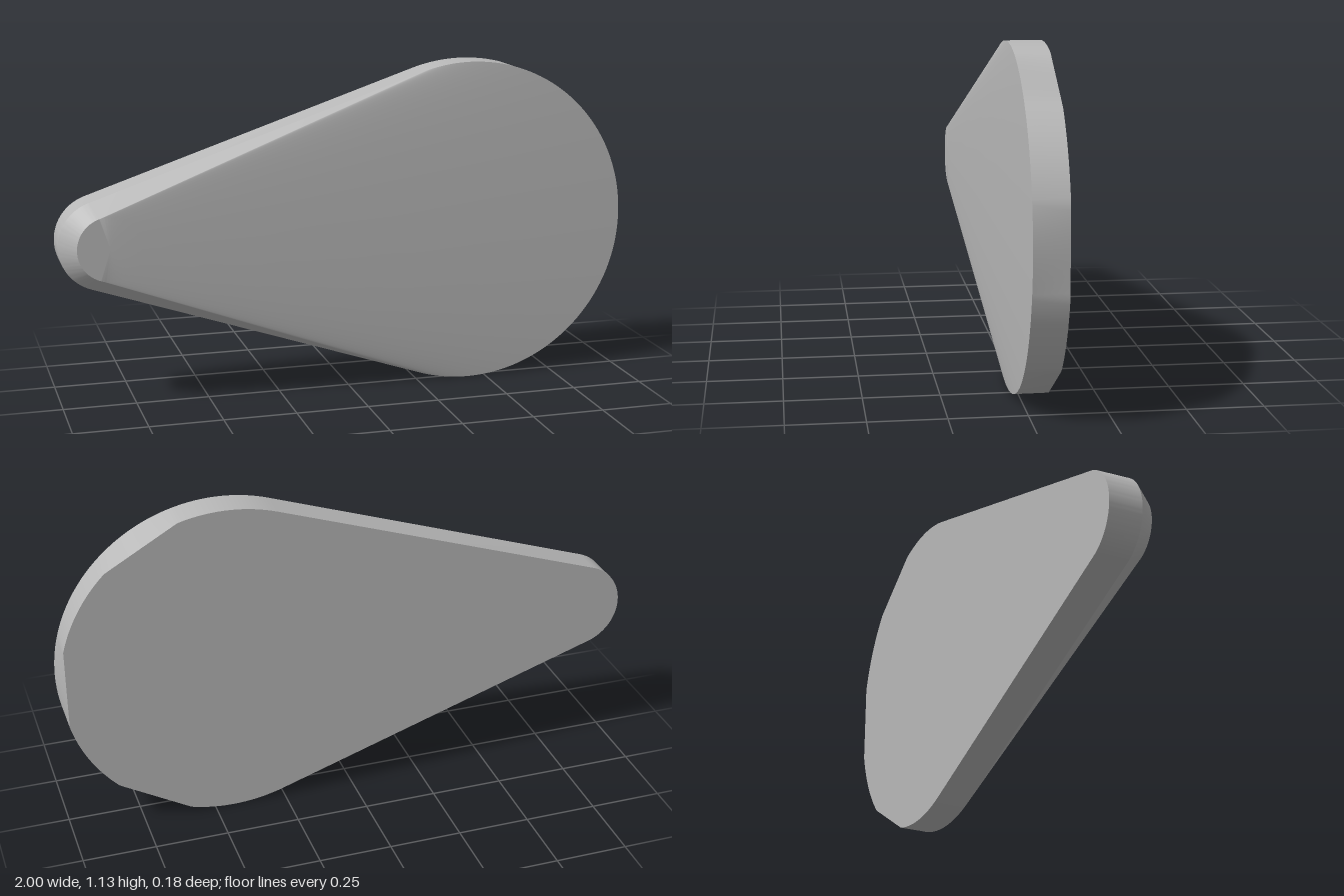
import * as THREE from 'three';
import { toCreasedNormals } from 'three/addons/utils/BufferGeometryUtils.js';

const CY = 0.565;                       // height of the long axis
const BIG = { x: 0.435, r: 0.565 };     // wide end
const TIP = { x: -0.845, r: 0.155 };    // narrow end
const CREST = { x: -0.835, r: 0.11 };   // raised flat disc at the narrow end
const Z_BACK = -0.089, Z_RIM = 0.025, Z_CREST = 0.088;

const polar = (c, a, z, r = c.r) => [c.x + r * Math.cos(a), CY + r * Math.sin(a), z];

// back radius of the wide end, trimmed by three slanted flats
function trimmedRadius(a) {
  let r = BIG.r;
  for (const flat of [-Math.PI / 3, 0, Math.PI / 3]) {
    const c = Math.cos(a - flat);
    if (c > 0.5) r = Math.min(r, 0.547 / c);
  }
  return r;
}

// matching points on the back, rim and crest, ordered by outline direction
function sections() {
  const tangent = Math.PI - Math.acos((BIG.r - TIP.r) / (BIG.x - TIP.x));
  const list = [];
  const arc = (c, from, to, n, backRadius) => {
    for (let i = 0; i <= n; i++) {
      const a = from + (to - from) * i / n;
      list.push({
        back: polar(c, a, Z_BACK, backRadius(a)),
        rim: polar(c, a, Z_RIM),
        crest: polar(CREST, a, Z_CREST),
      });
    }
  };
  arc(BIG, -tangent, tangent, 120, trimmedRadius);
  arc(TIP, tangent, 2 * Math.PI - tangent, 48, () => TIP.r);
  return list;
}

function bodyGeometry() {
  const s = sections(), pos = [];
  const same = (p, q) => Math.hypot(p[0] - q[0], p[1] - q[1], p[2] - q[2]) < 1e-6;
  const tri = (a, b, c) => {
    if (!same(a, b) && !same(b, c) && !same(c, a)) pos.push(...a, ...b, ...c);
  };
  const quad = (a, b, c, d) => { tri(a, b, c); tri(a, c, d); };
  s.forEach((p, i) => {
    const q = s[(i + 1) % s.length];
    tri([0, CY, Z_BACK], q.back, p.back);               // flat back
    quad(p.back, q.back, q.rim, p.rim);                 // side wall
    quad(p.rim, q.rim, q.crest, p.crest);               // sloping front
    tri([CREST.x, CY, Z_CREST], p.crest, q.crest);      // crest disc
  });
  const g = new THREE.BufferGeometry();
  g.setAttribute('position', new THREE.Float32BufferAttribute(pos, 3));
  return toCreasedNormals(g, 0.5);
}

export function createModel() {
  const grey = new THREE.MeshStandardMaterial({ color: 0xb8b8b8 });
  grey.name = 'grey';
  const body = new THREE.Mesh(bodyGeometry(), grey);
  body.name = 'teardropPlate';
  const group = new THREE.Group();
  group.name = 'teardropWedge';
  group.add(body);
  return group;
}
